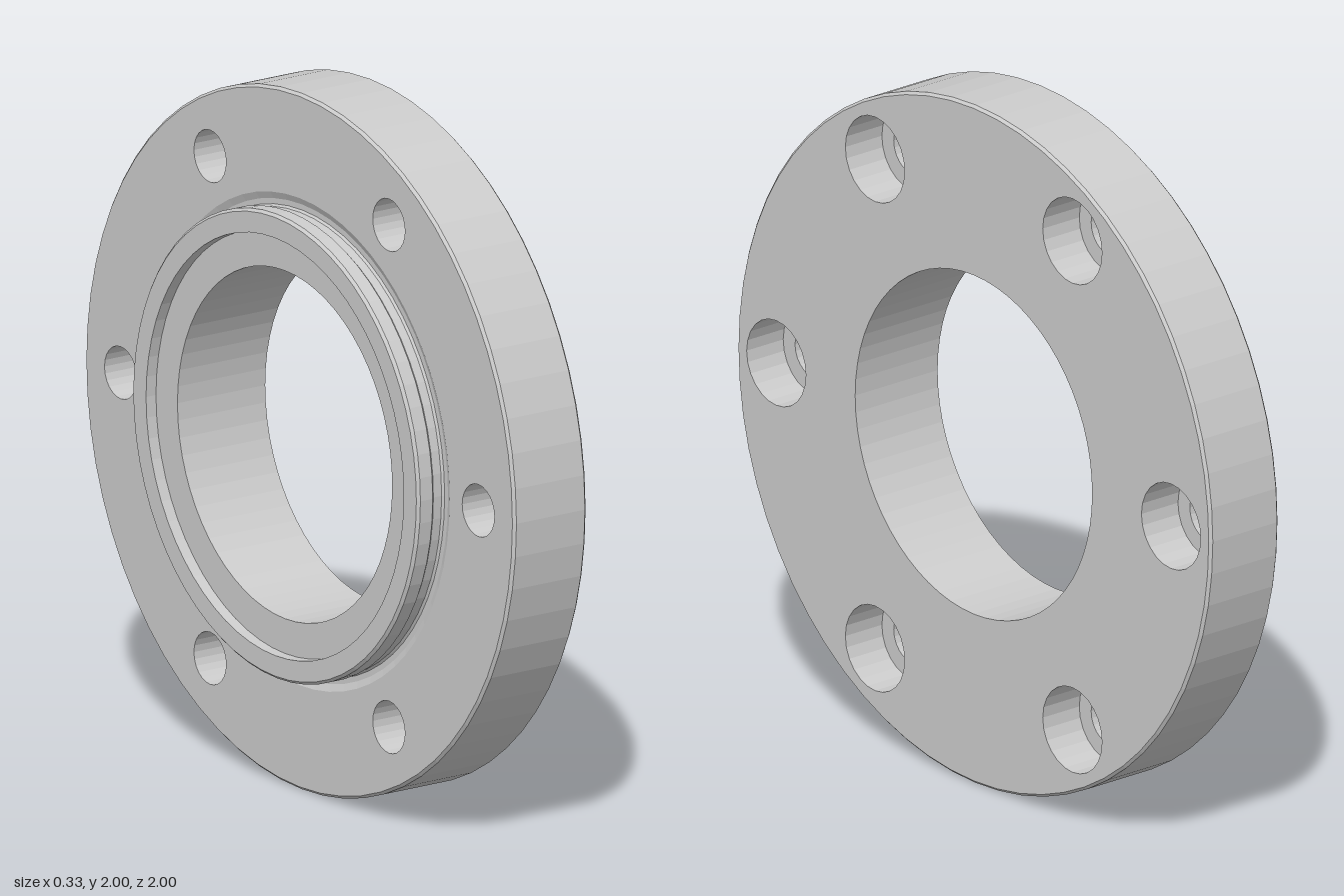
import * as THREE from 'three';

const SEGMENTS = 64;
const HOLE_SEGMENTS = 24;
const FRONT = 0.167; // plate face on +x
const BACK = -0.083; // plate face on -x
const BOLT_CIRCLE = 0.833;
const BOLT_ANGLES = Array.from({ length: 6 }, (_, i) => (i * Math.PI) / 3);

const material = new THREE.MeshStandardMaterial({ color: 0xcccccc, flatShading: true });

function addMesh(parent, name, geometry) {
  const mesh = new THREE.Mesh(geometry, material);
  mesh.name = name;
  parent.add(mesh);
  return mesh;
}

// Surface turned around the x axis from [radius, x] pairs
function turned(profile, segments) {
  const points = profile.map(([r, x]) => new THREE.Vector2(r, x));
  return new THREE.LatheGeometry(points, segments).rotateZ(-Math.PI / 2);
}

function circle(PathType, x, y, radius, segments) {
  const points = Array.from({ length: segments }, (_, i) => {
    const a = (i / segments) * Math.PI * 2;
    return new THREE.Vector2(x + radius * Math.cos(a), y + radius * Math.sin(a));
  });
  return new PathType(points);
}

// Flat ring pierced by the bolt holes, facing +x (side 1) or -x (side -1)
function piercedFace(inner, outer, holeRadius, x, side) {
  const shape = circle(THREE.Shape, 0, 0, outer, SEGMENTS);
  shape.holes.push(circle(THREE.Path, 0, 0, inner, SEGMENTS));
  for (const a of BOLT_ANGLES) {
    shape.holes.push(circle(THREE.Path,
      BOLT_CIRCLE * Math.cos(a), BOLT_CIRCLE * Math.sin(a), holeRadius, HOLE_SEGMENTS));
  }
  return new THREE.ShapeGeometry(shape).rotateY((side * Math.PI) / 2).translate(x, 0, 0);
}

export function createModel() {
  const flange = new THREE.Group();
  flange.name = 'flange';
  flange.position.y = 1;

  // Outer rim with small chamfers
  addMesh(flange, 'rim', turned([
    [0.992, BACK], [1, BACK + 0.008], [1, FRONT - 0.008], [0.992, FRONT],
  ], SEGMENTS));

  // Plate faces
  addMesh(flange, 'frontFace', piercedFace(0.5, 0.992, 0.125, FRONT, 1));
  addMesh(flange, 'backFace', piercedFace(0.7, 0.992, 0.075, BACK, -1));

  // Bore, end recess, locating spigot and the relief groove at its root
  addMesh(flange, 'boreAndSpigot', turned([
    [0.5, FRONT], [0.5, -0.133], [0.6, -0.133], [0.6, -0.167],
    [0.659, -0.167], [0.667, -0.159], [0.667, -0.117], [0.658, -0.108],
    [0.658, -0.08], [0.664, -0.074], [0.68, -0.074], [0.7, BACK],
  ], SEGMENTS));

  // Counterbored bolt holes
  const holeGeometry = turned([
    [0.125, FRONT], [0.125, 0.034], [0.075, 0.034], [0.075, BACK],
  ], HOLE_SEGMENTS);
  for (const a of BOLT_ANGLES) {
    const hole = addMesh(flange, 'boltHole', holeGeometry);
    hole.position.set(0, BOLT_CIRCLE * Math.sin(a), BOLT_CIRCLE * Math.cos(a));
  }

  const model = new THREE.Group();
  model.name = 'boltedFlange';
  model.add(flange);
  return model;
}
